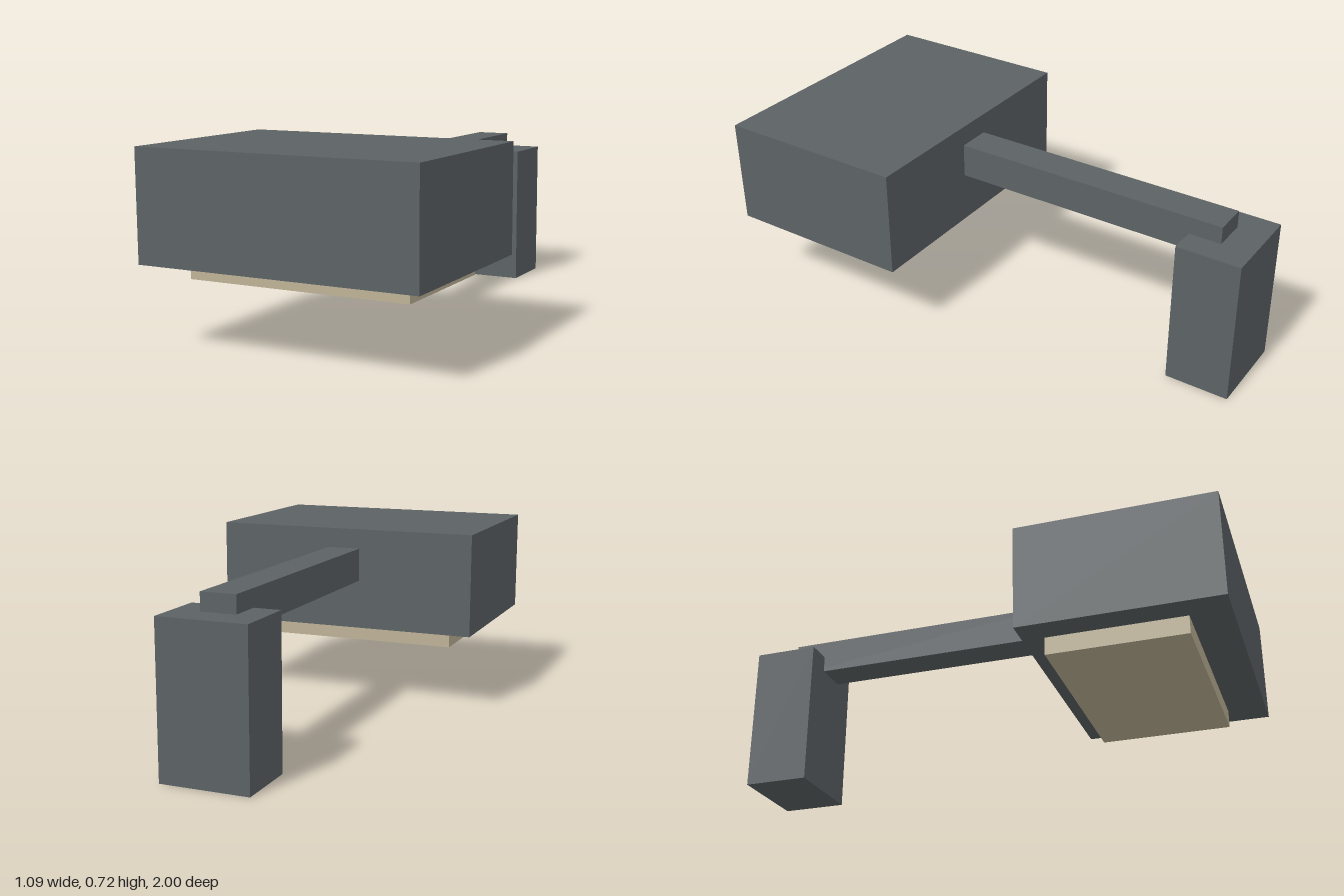
import * as THREE from 'three';

export function createModel() {
  const group = new THREE.Group();

  const metal = new THREE.MeshStandardMaterial({ color: 0x5c6265 });
  metal.name = 'dark grey metal';
  const glass = new THREE.MeshStandardMaterial({ color: 0xbfb397 });
  glass.name = 'warm lens';

  // Box centred on x, given by its width and its y and z extents
  function addBox(name, material, width, [y0, y1], [z0, z1]) {
    const mesh = new THREE.Mesh(new THREE.BoxGeometry(width, y1 - y0, z1 - z0), material);
    mesh.name = name;
    mesh.position.set(0, (y0 + y1) / 2, (z0 + z1) / 2);
    group.add(mesh);
  }

  // Wall bracket at the back
  addBox('mountBracket', metal, 0.342, [0, 0.577], [-1, -0.747]);
  // Arm set into the top of the bracket and reaching to the lamp head
  addBox('arm', metal, 0.136, [0.511, 0.645], [-0.875, 0.25]);
  // Lamp head
  addBox('lampHead', metal, 1.09, [0.312, 0.725], [0.242, 1]);
  // Lens under the head
  addBox('lens', glass, 0.872, [0.243, 0.32], [0.325, 0.85]);

  return group;
}
